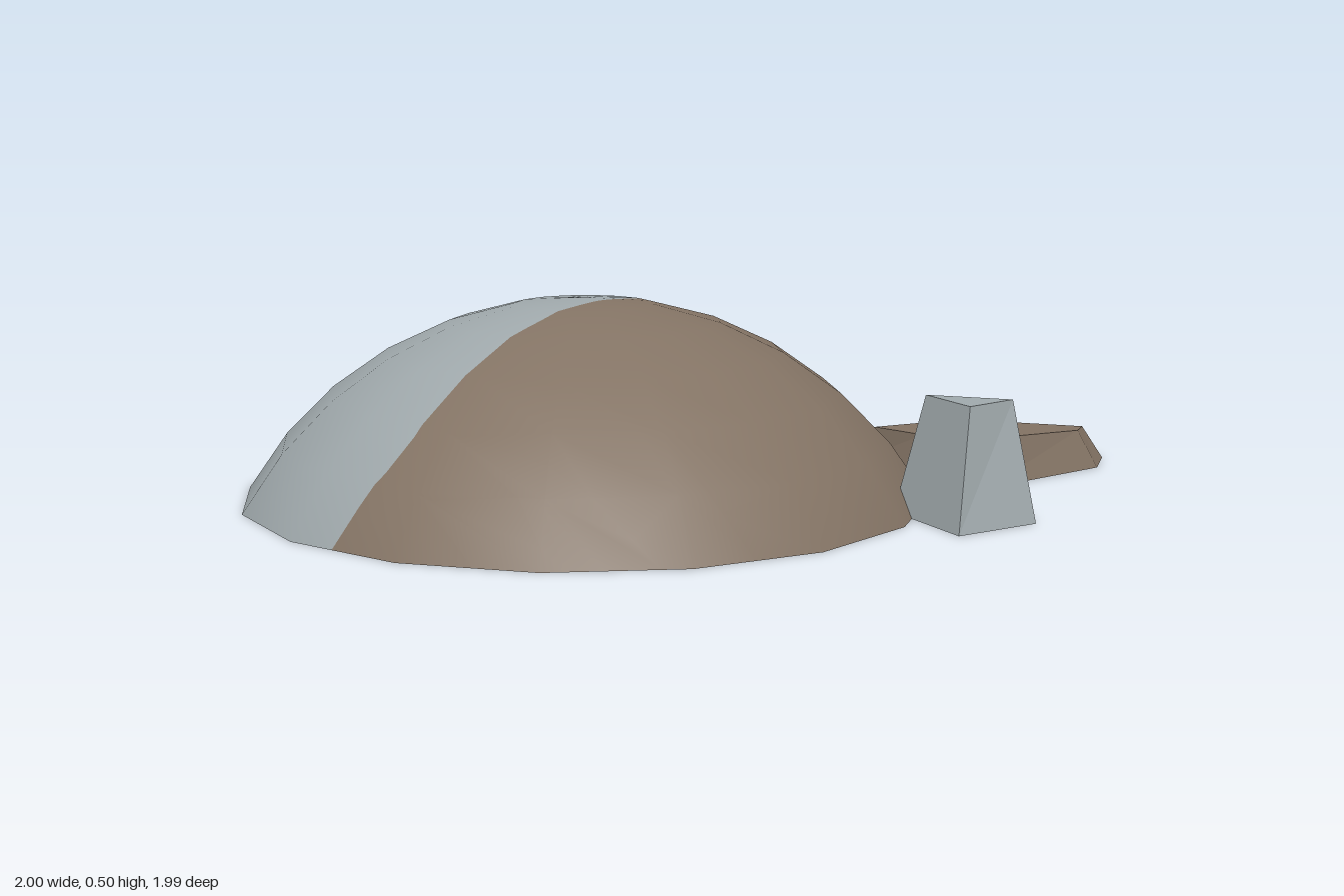
import * as THREE from 'three';

const mat = (name, color, side = THREE.FrontSide) => {
  const m = new THREE.MeshStandardMaterial({ color, side });
  m.name = name;
  return m;
};

// Keep the part of a polygon where f(v) >= 0; vertices are [position, normal] pairs.
function clip(poly, f) {
  const out = [];
  poly.forEach((a, i) => {
    const b = poly[(i + 1) % poly.length];
    const fa = f(a[0]), fb = f(b[0]);
    if (fa >= 0) out.push(a);
    if ((fa >= 0) !== (fb >= 0)) {
      const t = fa / (fa - fb);
      out.push([a[0].clone().lerp(b[0], t), a[1].clone().lerp(b[1], t).normalize()]);
    }
  });
  return out;
}

// Seam between the two colours of the dome, as [z, x] seen from above
const SEAM = [
  [-2, 0.07], [-0.71, 0.065], [-0.6, 0.045], [-0.53, 0.03], [-0.5, 0.015], [-0.48, -0.025],
  [-0.42, -0.037], [-0.36, -0.03], [-0.24, -0.03], [-0.1, -0.045], [0.1, -0.075], [0.35, -0.12],
  [0.6, -0.172], [0.77, -0.215], [0.84, -0.25], [0.89, -0.29], [0.95, -0.33], [2, -0.4],
];

// One side of the dome: sign +1 is the +x side of the seam
function domeHalf(dome, sign) {
  const { position: p, normal: n } = dome.attributes;
  const pos = [], nor = [];
  for (let i = 0; i < p.count; i += 3) {
    const tri = [0, 1, 2].map(k => [
      new THREE.Vector3().fromBufferAttribute(p, i + k),
      new THREE.Vector3().fromBufferAttribute(n, i + k),
    ]);
    for (let s = 0; s < SEAM.length - 1; s++) {
      const [z0, x0] = SEAM[s], [z1, x1] = SEAM[s + 1];
      let poly = clip(tri, v => v.z - z0);
      poly = clip(poly, v => z1 - v.z);
      poly = clip(poly, v => sign * (v.x - x0 - (x1 - x0) * (v.z - z0) / (z1 - z0)));
      for (let k = 1; k < poly.length - 1; k++) {
        for (const v of [poly[0], poly[k], poly[k + 1]]) {
          pos.push(...v[0].toArray());
          nor.push(...v[1].toArray());
        }
      }
    }
  }
  const g = new THREE.BufferGeometry();
  g.setAttribute('position', new THREE.Float32BufferAttribute(pos, 3));
  g.setAttribute('normal', new THREE.Float32BufferAttribute(nor, 3));
  return g;
}

// Faceted rock from a ground outline [x, z] and a top outline [x, y, z], counterclockwise from above
function rock(base, top) {
  const b = base.map(([x, z]) => [x, 0, z]);
  const pos = [], n = b.length;
  const tri = (...v) => v.forEach(q => pos.push(...q));
  for (let i = 0; i < n; i++) {
    const j = (i + 1) % n;
    tri(b[i], b[j], top[j]);
    tri(b[i], top[j], top[i]);
    if (i > 0 && i < n - 1) {
      tri(top[0], top[i], top[j]);
      tri(b[0], b[j], b[i]);
    }
  }
  const g = new THREE.BufferGeometry();
  g.setAttribute('position', new THREE.Float32BufferAttribute(pos, 3));
  g.computeVertexNormals();
  return g;
}

export function createModel() {
  const group = new THREE.Group();
  const stone = mat('greyStone', 0x9fa8ab);
  const earth = mat('brownEarth', 0x837364);
  // the dome is an open shell
  stone.side = earth.side = THREE.DoubleSide;

  const add = (name, geometry, material) => {
    const m = new THREE.Mesh(geometry, material);
    m.name = name;
    group.add(m);
  };

  // Dome: a 60 degree cap of a sphere
  const dome = new THREE.SphereGeometry(1, 16, 6, 0, Math.PI * 2, 0, Math.PI / 3)
    .translate(-0.13, -0.5, 0.12).toNonIndexed();
  add('domeEarthSide', domeHalf(dome, 1), earth);
  add('domeStoneSide', domeHalf(dome, -1), stone);

  // Flat slab with a gently tilted top
  const slabTop = [
    [0.36, -0.61], [0.555, -0.465], [0.74, -0.465], [0.87, -0.79], [0.845, -0.91], [0.48, -0.945],
  ].map(([x, z]) => [x, 0.12 + 0.075 * (z + 0.465) + 0.035 * (x - 0.74), z]);
  add('flatRock', rock([
    [0.31, -0.62], [0.545, -0.415], [0.755, -0.41], [0.92, -0.81], [0.89, -0.955], [0.45, -1],
  ], slabTop), earth);

  // Upright rock, top dropping toward the back
  add('uprightRock', rock(
    [[0.65, -0.025], [0.885, 0.155], [1, -0.06], [0.85, -0.33], [0.737, -0.33]],
    [[0.715, 0.29, -0.06], [0.87, 0.29, 0.055], [0.925, 0.29, -0.09], [0.85, 0.205, -0.27], [0.74, 0.205, -0.27]],
  ), stone);

  return group;
}
